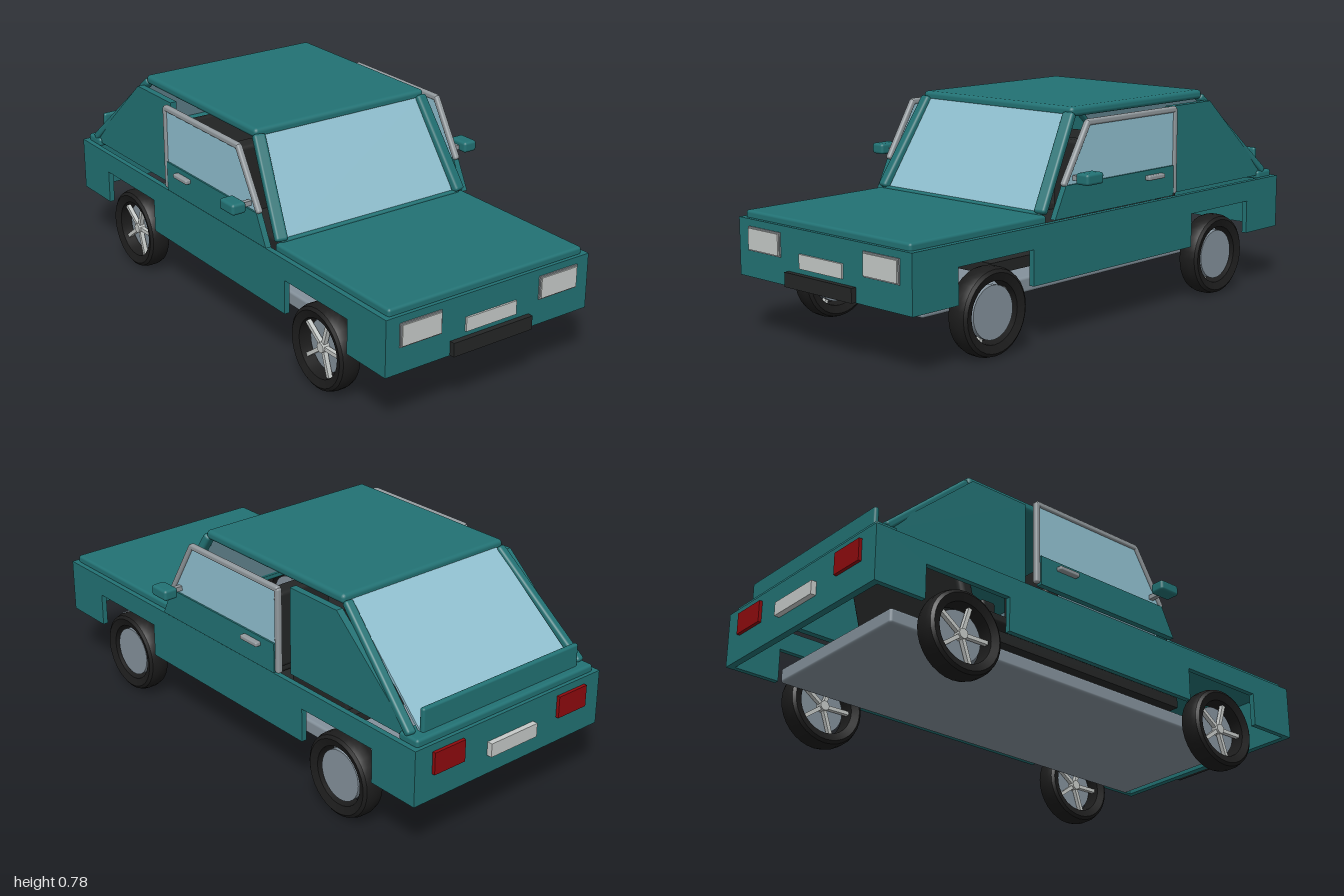
import * as THREE from 'three';
import { toCreasedNormals } from 'three/addons/utils/BufferGeometryUtils.js';
import { RoundedBoxGeometry } from 'three/addons/geometries/RoundedBoxGeometry.js';

const paint = (name, color) => Object.assign(new THREE.MeshStandardMaterial({ color }), { name });

export function createModel() {
  const car = new THREE.Group();
  car.name = 'car';

  const teal = paint('teal paint', 0x227274);
  const glass = paint('pale blue glass', 0x90c0d0);
  const steel = paint('steel grey', 0x84919b);
  const trim = paint('trim grey', 0x92999d);
  const silver = paint('light silver', 0xc6cac8);
  const rubber = paint('tyre black', 0x1c1c1c);
  const black = paint('interior black', 0x242626);
  const red = paint('lamp red', 0x8e0a0e);

  const add = (name, geometry, material, parent = car) => {
    const mesh = new THREE.Mesh(geometry, material);
    mesh.name = name;
    parent.add(mesh);
    return mesh;
  };
  // Box given by its extents on each axis, optionally rounded
  const box = (name, material, [x0, x1], [y0, y1], [z0, z1], r = 0) => {
    const size = [x1 - x0, y1 - y0, z1 - z0];
    const g = r ? new RoundedBoxGeometry(...size, 2, r) : new THREE.BoxGeometry(...size);
    g.translate((x0 + x1) / 2, (y0 + y1) / 2, (z0 + z1) / 2);
    return add(name, g, material);
  };
  const extrude = (points, depth) => new THREE.ExtrudeGeometry(
    new THREE.Shape(points.map(p => new THREE.Vector2(...p))), { depth, bevelEnabled: false });
  // Plate drawn as a (z, y) outline, centred on x
  const sidePlate = (name, material, points, x, thick) =>
    add(name, extrude(points, thick).rotateY(-Math.PI / 2).translate(x + thick / 2, 0, 0), material);
  // Straight rounded bar from a to b
  const bar = (name, material, a, b, w, h = w) => {
    const A = new THREE.Vector3(...a), B = new THREE.Vector3(...b);
    const m = add(name, new RoundedBoxGeometry(w, h, A.distanceTo(B) + w * 0.5, 2, Math.min(w, h) * 0.35), material);
    m.position.copy(A).lerp(B, 0.5);
    m.lookAt(B);
    return m;
  };
  // Tilted trapezoid pane between a bottom and a top edge
  const pane = (name, bottomHalf, topHalf, [z0, y0], [z1, y1]) => {
    const L = Math.hypot(z1 - z0, y1 - y0), t = 0.009;
    const g = extrude([[-bottomHalf, 0], [bottomHalf, 0], [topHalf, L], [-topHalf, L]], t);
    g.translate(0, 0, -t / 2).rotateX(Math.atan2(z1 - z0, y1 - y0)).translate(0, y0, z0);
    add(name, g, glass);
  };

  // Lower body shell: end panels, bonnet, rear deck, undertray
  box('frontPanel', teal, [-0.43, 0.43], [0.21, 0.412], [0.955, 0.98]);
  box('rearPanel', teal, [-0.43, 0.43], [0.21, 0.412], [-0.98, -0.955]);
  box('bonnet', teal, [-0.41, 0.41], [0.405, 0.437], [0.345, 0.967], 0.01);
  box('rearDeck', teal, [-0.41, 0.41], [0.405, 0.437], [-0.967, -0.88], 0.01);
  box('tailLip', teal, [-0.36, 0.36], [0.42, 0.52], [-0.94, -0.92], 0.008);
  box('chassis', steel, [-0.315, 0.315], [0.155, 0.21], [-0.83, 0.83], 0.01);

  // Cabin: roof, screens and their base rail
  box('roof', teal, [-0.367, 0.367], [0.745, 0.78], [-0.565, 0.17], 0.014);
  bar('windscreenRail', teal, [-0.385, 0.435, 0.35], [0.385, 0.435, 0.35], 0.02);
  pane('windscreen', 0.365, 0.34, [0.345, 0.437], [0.165, 0.752]);
  pane('rearWindow', 0.36, 0.335, [-0.922, 0.437], [-0.562, 0.755]);

  // Interior
  box('cabinFloor', black, [-0.3, 0.3], [0.24, 0.28], [-0.5, 0.5]);
  box('rearBench', black, [-0.3, 0.3], [0.31, 0.345], [-0.51, -0.22], 0.01);
  bar('rearBenchBack', black, [0, 0.33, -0.48], [0, 0.6, -0.55], 0.58, 0.06).scale.z = 0.4;

  for (const s of [-1, 1]) {
    const span = (a, b) => s > 0 ? [a, b] : [-b, -a];
    // Body side with square wheel openings
    sidePlate('bodySide', teal, [
      [-0.98, 0.21], [-0.78, 0.21], [-0.78, 0.335], [-0.43, 0.335], [-0.43, 0.21],
      [0.43, 0.21], [0.43, 0.335], [0.78, 0.335], [0.78, 0.21], [0.98, 0.21],
      [0.98, 0.412], [-0.98, 0.412]], s * 0.42, 0.02);
    sidePlate('rearQuarter', teal,
      [[-0.92, 0.42], [-0.335, 0.42], [-0.335, 0.74], [-0.57, 0.74], [-0.92, 0.432]], s * 0.387, 0.026);

    // Pillars
    bar('frontPillar', teal, [s * 0.388, 0.45, 0.35], [s * 0.352, 0.75, 0.17], 0.045, 0.03);
    bar('rearPillar', teal, [s * 0.393, 0.44, -0.915], [s * 0.35, 0.75, -0.57], 0.035, 0.028);

    // Door with window frame, handle and mirror
    const x = s * 0.432;
    sidePlate('doorPanel', teal,
      [[-0.3, 0.423], [0.34, 0.423], [0.285, 0.533], [-0.3, 0.533]], x, 0.022);
    sidePlate('doorWindow', glass,
      [[-0.31, 0.533], [0.28, 0.533], [0.165, 0.732], [-0.31, 0.732]], x, 0.009);
    bar('windowFrameFront', trim, [x, 0.535, 0.286], [x, 0.735, 0.165], 0.022);
    bar('windowFrameTop', trim, [x, 0.735, 0.165], [x, 0.735, -0.312], 0.022);
    bar('windowFrameRear', trim, [x, 0.735, -0.312], [x, 0.432, -0.312], 0.022);
    box('doorHandle', trim, span(0.44, 0.463), [0.498, 0.515], [-0.228, -0.138], 0.005);
    box('mirrorArm', trim, span(0.435, 0.485), [0.546, 0.563], [0.228, 0.246]);
    box('mirror', teal, span(0.478, 0.534), [0.54, 0.58], [0.195, 0.28], 0.01);

    // Front seats
    box('seatCushion', black, span(0.06, 0.29), [0.28, 0.36], [-0.1, 0.2], 0.015);
    box('seatBack', black, span(0.06, 0.29), [0.33, 0.62], [-0.145, -0.075], 0.015);

    // Lamps
    box('headlampFrame', trim, span(0.208, 0.376), [0.303, 0.387], [0.978, 0.985]);
    box('headlamp', silver, span(0.213, 0.371), [0.308, 0.382], [0.98, 0.99]);
    box('tailLamp', red, span(0.22, 0.355), [0.305, 0.385], [-0.992, -0.975]);
  }

  // Number plates and front bumper
  box('frontPlate', silver, [-0.107, 0.107], [0.28, 0.33], [0.978, 0.987]);
  box('rearPlate', silver, [-0.107, 0.107], [0.28, 0.33], [-1, -0.978]);
  box('frontBumper', black, [-0.168, 0.168], [0.212, 0.262], [0.975, 1]);

  // Wheels: open tyre ring, disc towards +x, spokes towards -x
  const ring = [[0.107, -0.032], [0.135, -0.042], [0.146, -0.034], [0.152, -0.015],
    [0.152, 0.015], [0.146, 0.034], [0.135, 0.042], [0.107, 0.032], [0.107, -0.032]];
  const tyre = toCreasedNormals(new THREE.LatheGeometry(
    ring.map(p => new THREE.Vector2(...p)), 32).rotateZ(-Math.PI / 2), 0.5);
  const disc = new THREE.CylinderGeometry(0.092, 0.092, 0.02, 32).rotateZ(-Math.PI / 2).translate(0.015, 0, 0);
  const cap = new THREE.CylinderGeometry(0.018, 0.018, 0.03, 16).rotateZ(-Math.PI / 2).translate(-0.008, 0, 0);
  const spoke = new THREE.BoxGeometry(0.016, 0.108, 0.014).translate(-0.008, 0.054, 0);
  for (const x of [-0.388, 0.388]) for (const z of [-0.607, 0.607]) {
    const wheel = new THREE.Group();
    wheel.name = 'wheel';
    wheel.position.set(x, 0.152, z);
    add('tyre', tyre, rubber, wheel);
    add('wheelDisc', disc, steel, wheel);
    add('hubCap', cap, silver, wheel);
    for (let i = 0; i < 5; i++)
      add('spoke', spoke, silver, wheel).rotation.x = (i / 5) * Math.PI * 2 + 0.3;
    car.add(wheel);
  }
  return car;
}
